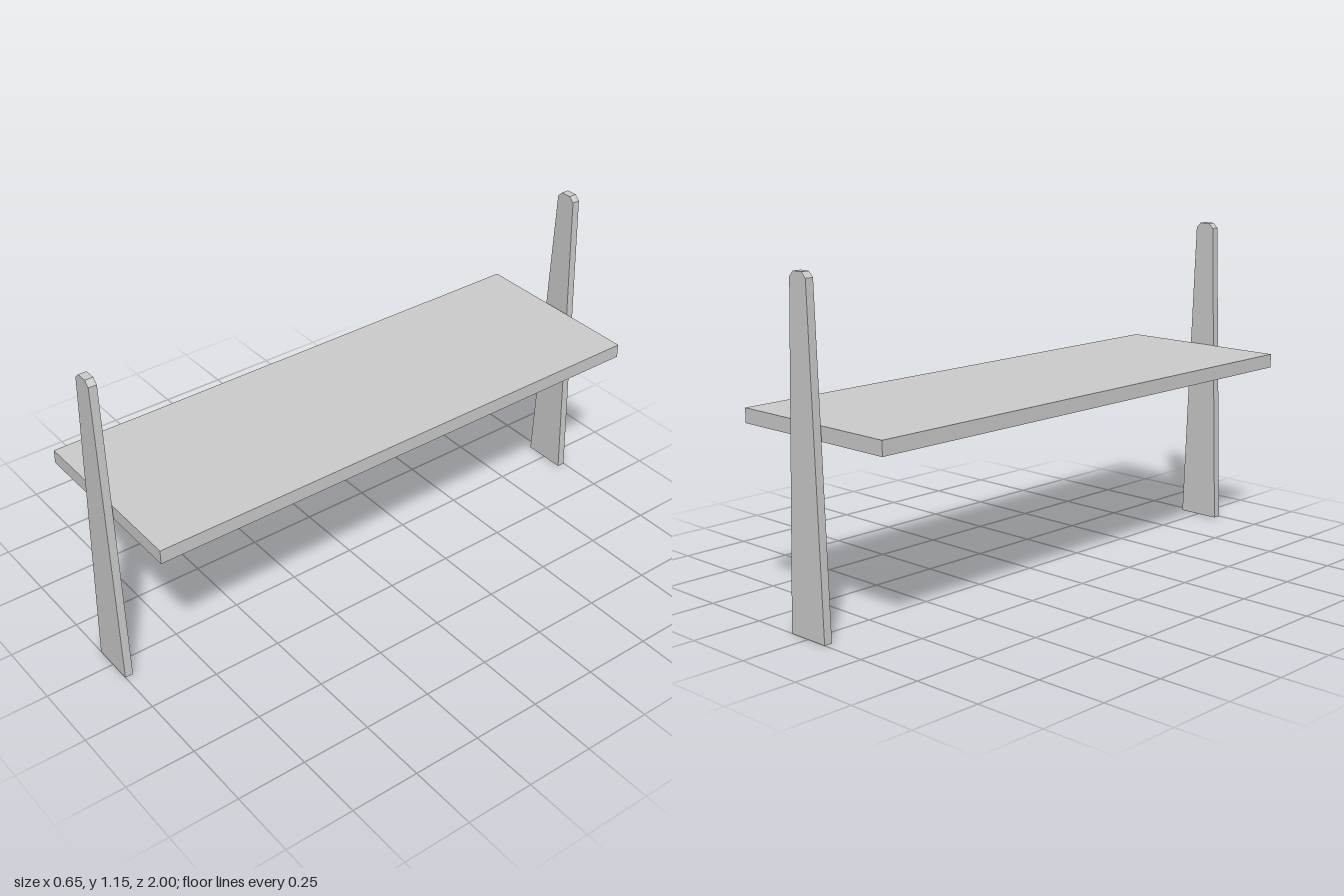
import * as THREE from 'three';

export function createModel() {
  const group = new THREE.Group();
  const material = new THREE.MeshStandardMaterial({ color: 0xcccccc, flatShading: true });

  // Flat shelf board running front to back
  const board = new THREE.Mesh(new THREE.BoxGeometry(0.654, 0.05, 1.932), material);
  board.name = 'board';
  board.position.y = 0.659;
  group.add(board);

  // Tapered end post with clipped top corners
  const thickness = 0.029;
  const outline = new THREE.Shape([
    [-0.08, 0], [0.08, 0], [0.038, 1.133], [0.02, 1.151], [-0.02, 1.151], [-0.038, 1.133],
  ].map(([x, y]) => new THREE.Vector2(x, y)));
  const postGeometry = new THREE.ExtrudeGeometry(outline, { depth: thickness, bevelEnabled: false });
  postGeometry.translate(0, 0, -thickness / 2);

  for (const [name, side] of [['frontPost', 1], ['backPost', -1]]) {
    const post = new THREE.Mesh(postGeometry, material);
    post.name = name;
    post.position.z = side * (1 - thickness / 2);
    group.add(post);
  }

  return group;
}
